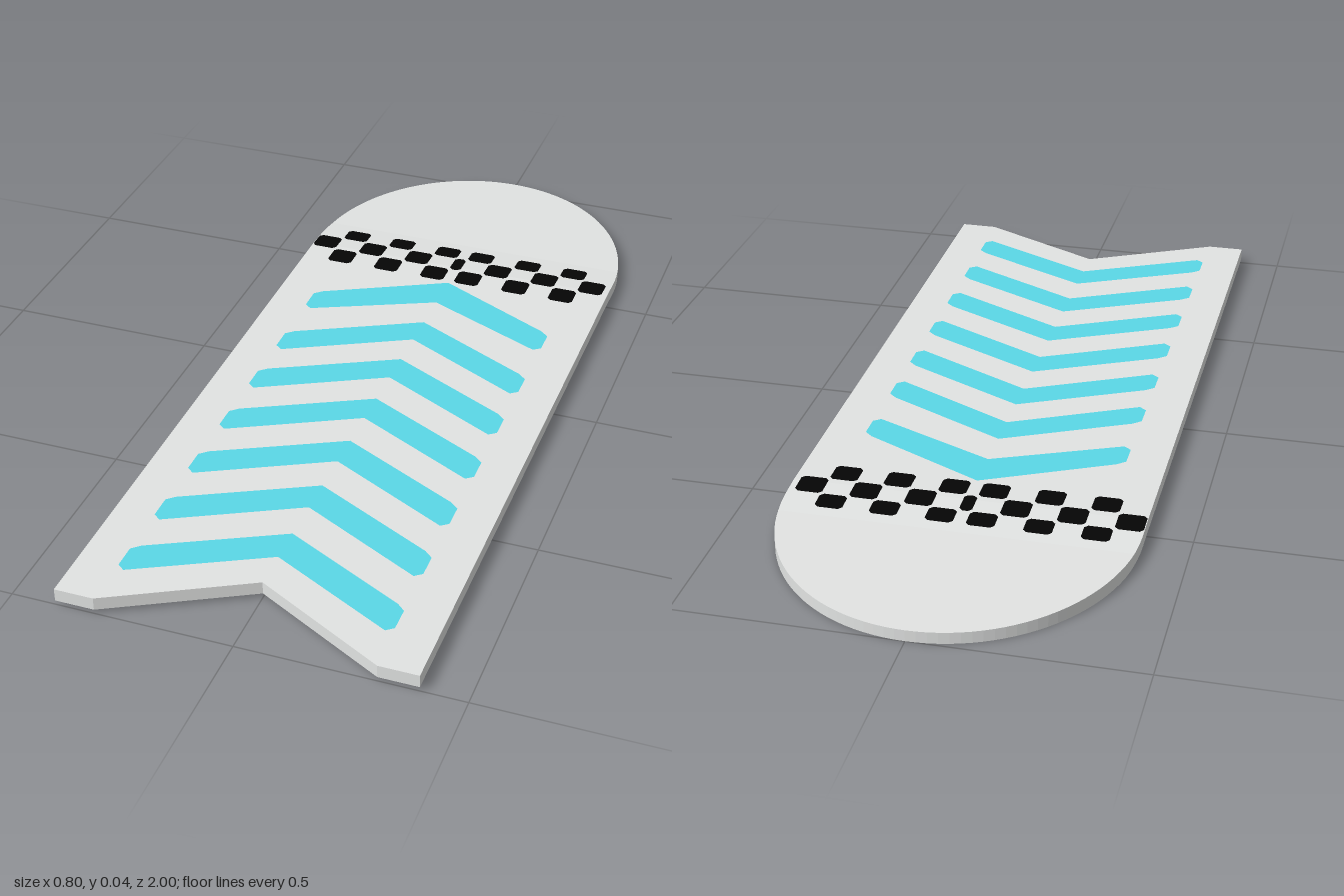
import * as THREE from 'three';

const HALF = 0.399, LIFT = 0.001;
const { clamp } = THREE.MathUtils;

// rim and deck heights: the rounded end bends down and thins a little
const bottomY = (z) => 0.01 * clamp((z + 0.67) / 0.17, 0, 1);
const topY = (z) => 0.026 + 0.006 * clamp((z + 1) / 0.4, 0, 1) + 0.008 * clamp((z + 0.62) / 0.12, 0, 1);

// one half of the open-bottomed plate, lofted through [z, inner x, outer x] stations
function halfPlate(side) {
  const stations = [[1, 0.31, HALF], [0.838, 0, HALF], [-0.5, 0, HALF]];
  const steps = 28;
  for (let i = 0; i <= steps; i++) {
    const a = (i / steps) * Math.PI / 2;
    stations.push([-0.55 - 0.45 * Math.sin(a), 0, HALF * Math.cos(a)]);
  }
  const positions = [];
  const tri = (a, b, c) => positions.push(...a, ...(side > 0 ? [...b, ...c] : [...c, ...b]));
  const quad = (a, b, c, d) => { tri(a, b, c); tri(a, c, d); };
  // corners: inner top, outer top, outer bottom, inner bottom
  const rings = stations.map(([z, xi, xo]) => [
    [side * xi, topY(z), z], [side * xo, topY(z), z],
    [side * xo, bottomY(z), z], [side * xi, bottomY(z), z],
  ]);
  for (let i = 0; i < rings.length - 1; i++) {
    const p = rings[i], q = rings[i + 1];
    quad(p[0], p[1], q[1], q[0]); // deck
    quad(p[1], p[2], q[2], q[1]); // outer rim
    if (i === 0) quad(p[3], p[0], q[0], q[3]); // notch wall
  }
  const e = rings[0];
  quad(e[0], e[3], e[2], e[1]); // front end
  const geo = new THREE.BufferGeometry();
  geo.setAttribute('position', new THREE.Float32BufferAttribute(positions, 3));
  geo.computeVertexNormals();
  return geo;
}

// painted face from [x, z] points, following the deck
function decal(points) {
  const shape = new THREE.Shape(points.map(([x, z]) => new THREE.Vector2(x, -z)));
  const geo = new THREE.ShapeGeometry(shape).rotateX(-Math.PI / 2);
  const pos = geo.attributes.position;
  for (let i = 0; i < pos.count; i++) pos.setY(i, topY(pos.getZ(i)));
  geo.computeVertexNormals();
  return geo;
}

// arrow stripe with clipped ends
function chevron(z, apex) {
  const right = [
    [0.288, z + 0.143], [0.307, z + 0.16], [0.307, z + 0.216], [0.29, z + 0.229],
  ];
  const left = right.map(([x, y]) => [-x, y]).reverse();
  return [[0, z], ...right, [0, z + apex], ...left];
}

// check with slightly clipped corners
function check(x, z, w, h) {
  const a = w / 2, b = h / 2, c = 0.008;
  return [
    [x - a + c, z - b], [x + a - c, z - b], [x + a, z - b + c], [x + a, z + b - c],
    [x + a - c, z + b], [x - a + c, z + b], [x - a, z + b - c], [x - a, z - b + c],
  ];
}

export function createModel() {
  const group = new THREE.Group();
  const paint = (name, color) => {
    const mat = new THREE.MeshStandardMaterial({ color, side: THREE.DoubleSide });
    mat.name = name;
    return mat;
  };
  const grey = paint('pale grey', 0xe2e4e3);
  const cyan = paint('cyan', 0x5ad8e7);
  const black = paint('black', 0x050505);

  const add = (geo, mat, name, y = 0) => {
    const mesh = new THREE.Mesh(geo, mat);
    mesh.name = name;
    mesh.position.y = y;
    group.add(mesh);
  };
  // paint shows on both sides of the thin deck
  const addDecal = (points, mat, name) => {
    const geo = decal(points);
    add(geo, mat, name + 'Top', LIFT);
    add(geo, mat, name + 'Underside', -LIFT);
  };

  add(halfPlate(1), grey, 'plateLeft');
  add(halfPlate(-1), grey, 'plateRight');

  [-0.418, -0.22, -0.045, 0.132, 0.31, 0.488, 0.668].forEach((z, i) => {
    addDecal(chevron(z, i === 0 ? 0.1 : 0.083), cyan, 'chevron');
  });

  // chequered band: outer rows share columns, middle row fills the gaps
  for (const x of [-0.302, -0.176, -0.05, 0.042, 0.168, 0.291]) {
    addDecal(check(x, -0.571, 0.063, 0.051), black, 'check');
    addDecal(check(x, -0.454, 0.063, 0.06), black, 'check');
  }
  for (const x of [-0.366, -0.239, -0.113, -0.005, 0.103, 0.228, 0.353]) {
    addDecal(check(x, -0.515, Math.abs(x) < 0.01 ? 0.029 : 0.063, 0.061), black, 'check');
  }
  return group;
}
